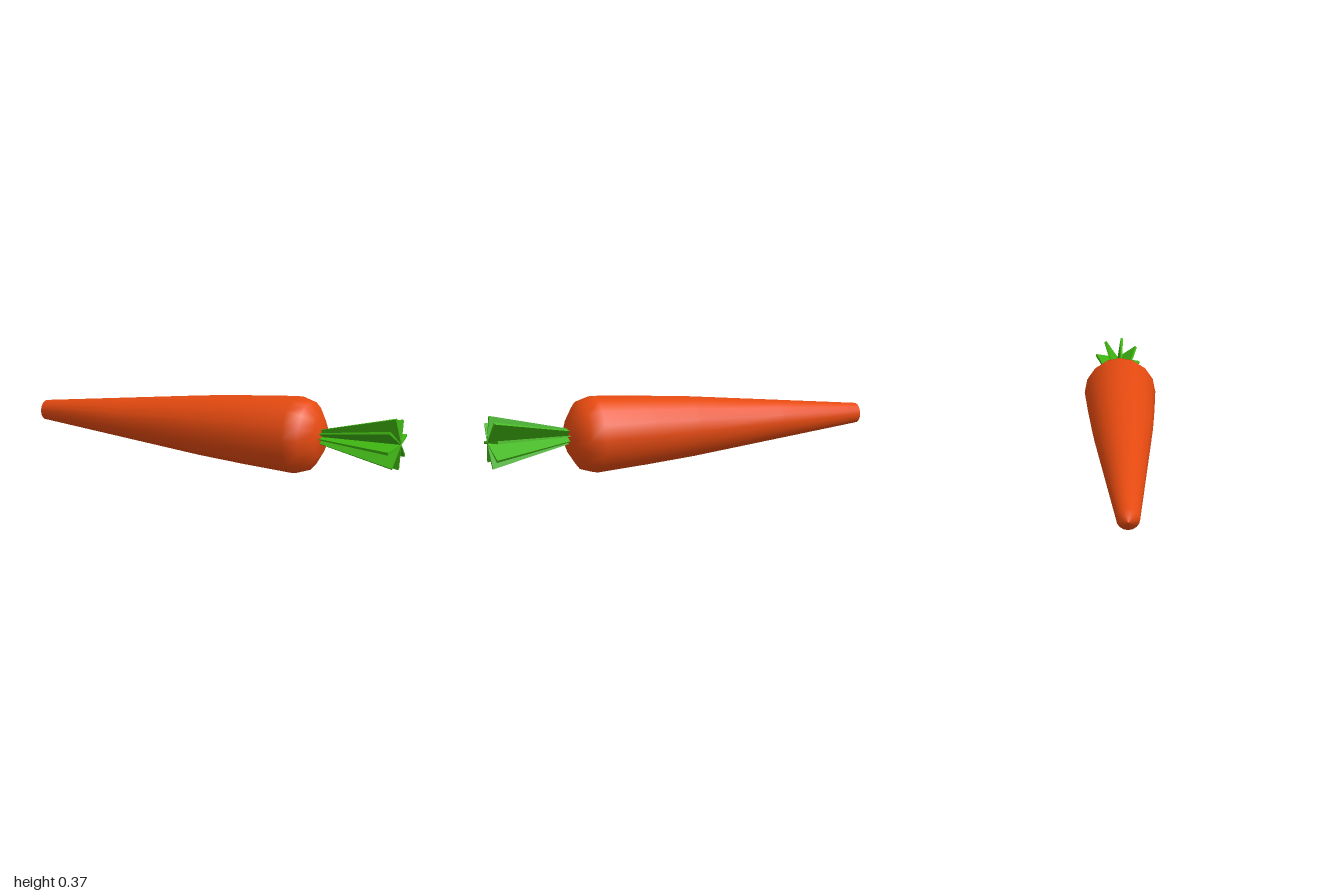
import * as THREE from 'three';

const AXIS_Y = 0.186;
const LEAVES = 8;

export function createModel() {
  const orange = new THREE.MeshStandardMaterial({ color: 0xe64a10 });
  orange.name = 'carrot orange';
  const green = new THREE.MeshStandardMaterial({ color: 0x3fb512, flatShading: true });
  green.name = 'leaf green';

  const model = new THREE.Group();
  model.name = 'carrot';

  // Root: a 16-sided turned profile of [radius, x], laid along x
  const profile = [
    [0, -1], [0.051, -0.97], [0.1, -0.5], [0.15, -0.02], [0.169, 0.22],
    [0.186, 0.48], [0.164, 0.55], [0.09, 0.6], [0, 0.611],
  ].map(([r, x]) => new THREE.Vector2(r, x));
  const root = new THREE.Mesh(new THREE.LatheGeometry(profile, 16), orange);
  root.name = 'root';
  root.rotation.z = -Math.PI / 2;
  root.position.y = AXIS_Y;
  model.add(root);

  // Leaf: a radial fin, thin at the axis and thicker at the outer edge
  const outline = new THREE.Shape([
    [0.59, 0], [1, 0], [0.982, 0.124], [0.59, 0.033],
  ].map(([x, y]) => new THREE.Vector2(x, y)));
  const leafGeometry = new THREE.ExtrudeGeometry(outline, { depth: 1, bevelEnabled: false });
  const p = leafGeometry.attributes.position;
  for (let i = 0; i < p.count; i++) {
    const halfWidth = 0.0015 + 0.0055 * Math.min(1, p.getY(i) / 0.124);
    p.setZ(i, (p.getZ(i) * 2 - 1) * halfWidth);
  }
  leafGeometry.computeVertexNormals();

  // Tuft: leaves fanned evenly around the axis
  const tuft = new THREE.Group();
  tuft.name = 'leafTuft';
  tuft.position.y = AXIS_Y;
  for (let i = 0; i < LEAVES; i++) {
    const leaf = new THREE.Mesh(leafGeometry, green);
    leaf.name = 'leaf';
    leaf.rotation.x = THREE.MathUtils.degToRad(10.5) + (i / LEAVES) * Math.PI * 2;
    tuft.add(leaf);
  }
  model.add(tuft);

  return model;
}
